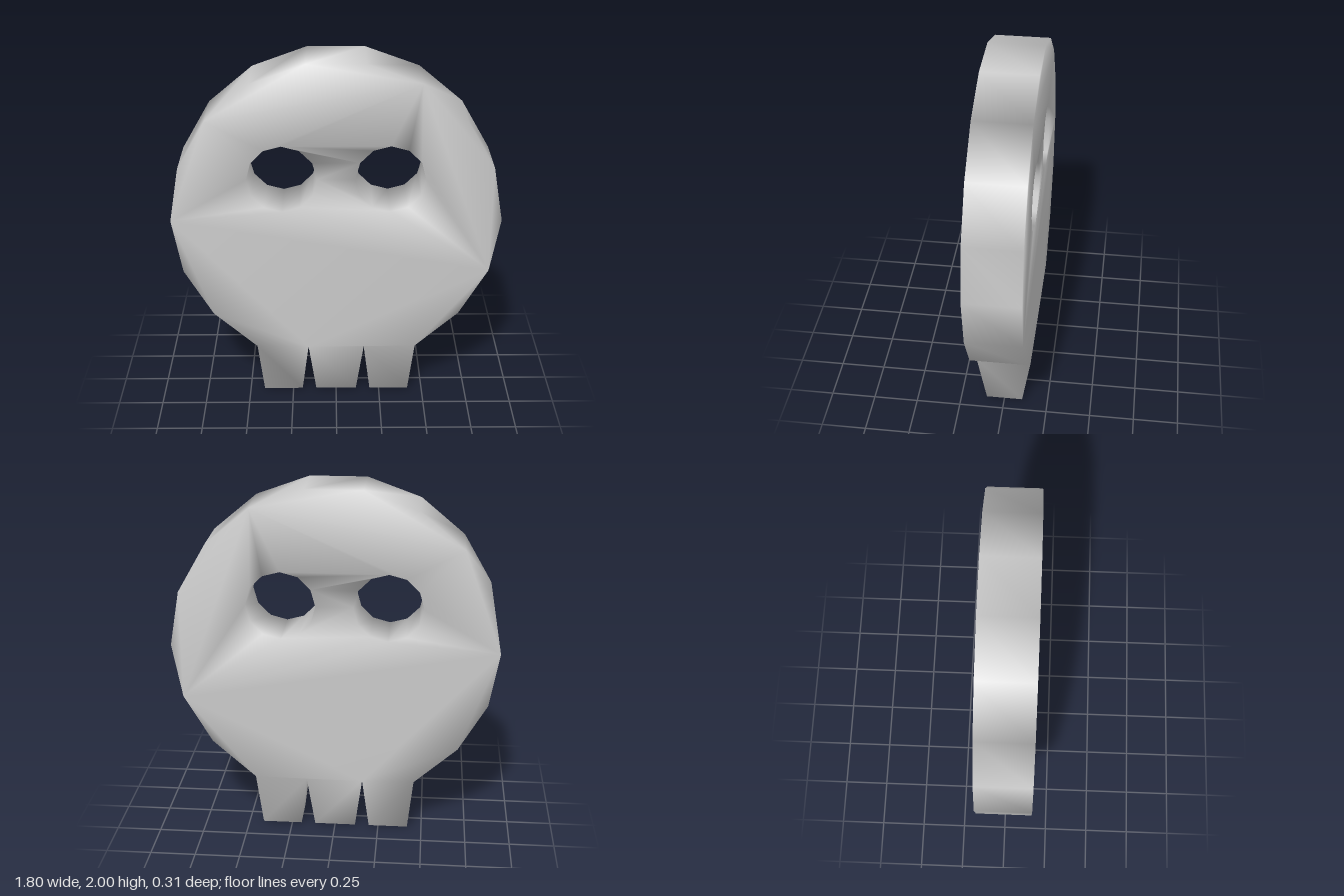
import * as THREE from 'three';

const V = (x, y) => new THREE.Vector2(x, y);

// Regular arc of points around a centre, angles in degrees
function arc(cx, cy, r, from, step, count) {
  return Array.from({ length: count }, (_, i) => {
    const a = THREE.MathUtils.degToRad(from + i * step);
    return V(cx + r * Math.cos(a), cy + r * Math.sin(a));
  });
}

export function createModel() {
  // Outline, counter-clockwise: round cranium, then three teeth
  const outline = [
    ...arc(0, 1.114, 0.9, -40, 20, 14),
    V(-0.45, 0.32), V(-0.418, 0), V(-0.196, 0), V(-0.158, 0.315),
    V(-0.116, 0), V(0.116, 0), V(0.158, 0.315),
    V(0.196, 0), V(0.418, 0), V(0.45, 0.32),
  ];
  // Eye holes, clockwise
  const eyes = [-0.292, 0.292].map((x) => arc(x, 1.358, 0.19, 0, -30, 12));
  const points = [...outline, ...eyes[0], ...eyes[1]];
  const n = points.length;

  // The face plate stops at the tooth line; each tooth is one quad
  const teeth = [[14, 15, 16, 17], [17, 18, 19, 20], [20, 21, 22, 23]];
  const headIds = outline.map((_, i) => i).filter((i) => i <= 14 || [17, 20, 23].includes(i));
  const ids = [...headIds, ...points.map((_, i) => i).slice(outline.length)];
  const faces = THREE.ShapeUtils.triangulateShape(headIds.map((i) => outline[i]), eyes)
    .map((f) => f.map((k) => ids[k]));
  for (const [a, b, c, d] of teeth) faces.push([a, b, c], [a, c, d]);

  // Front and back vertices; the teeth thin out towards their tips
  const positions = [];
  for (const side of [1, -1]) {
    for (const p of points) positions.push(p.x, p.y, side * (p.y < 0.1 ? 0.103 : 0.153));
  }

  // Front and back surfaces
  const index = [];
  for (const [a, b, c] of faces) index.push(a, b, c, c + n, b + n, a + n);

  // Rim and eye walls
  let start = 0;
  for (const loop of [outline, ...eyes]) {
    loop.forEach((_, k) => {
      const i = start + k, j = start + (k + 1) % loop.length;
      index.push(i, i + n, j, j, i + n, j + n);
    });
    start += loop.length;
  }

  // Shared vertices give smooth shading across the whole piece
  const geometry = new THREE.BufferGeometry();
  geometry.setAttribute('position', new THREE.Float32BufferAttribute(positions, 3));
  geometry.setIndex(index);
  geometry.computeVertexNormals();

  const skull = new THREE.Mesh(geometry, new THREE.MeshStandardMaterial({ color: 0xcccccc }));
  skull.name = 'skull';
  const group = new THREE.Group();
  group.name = 'skullPlate';
  group.add(skull);
  return group;
}
